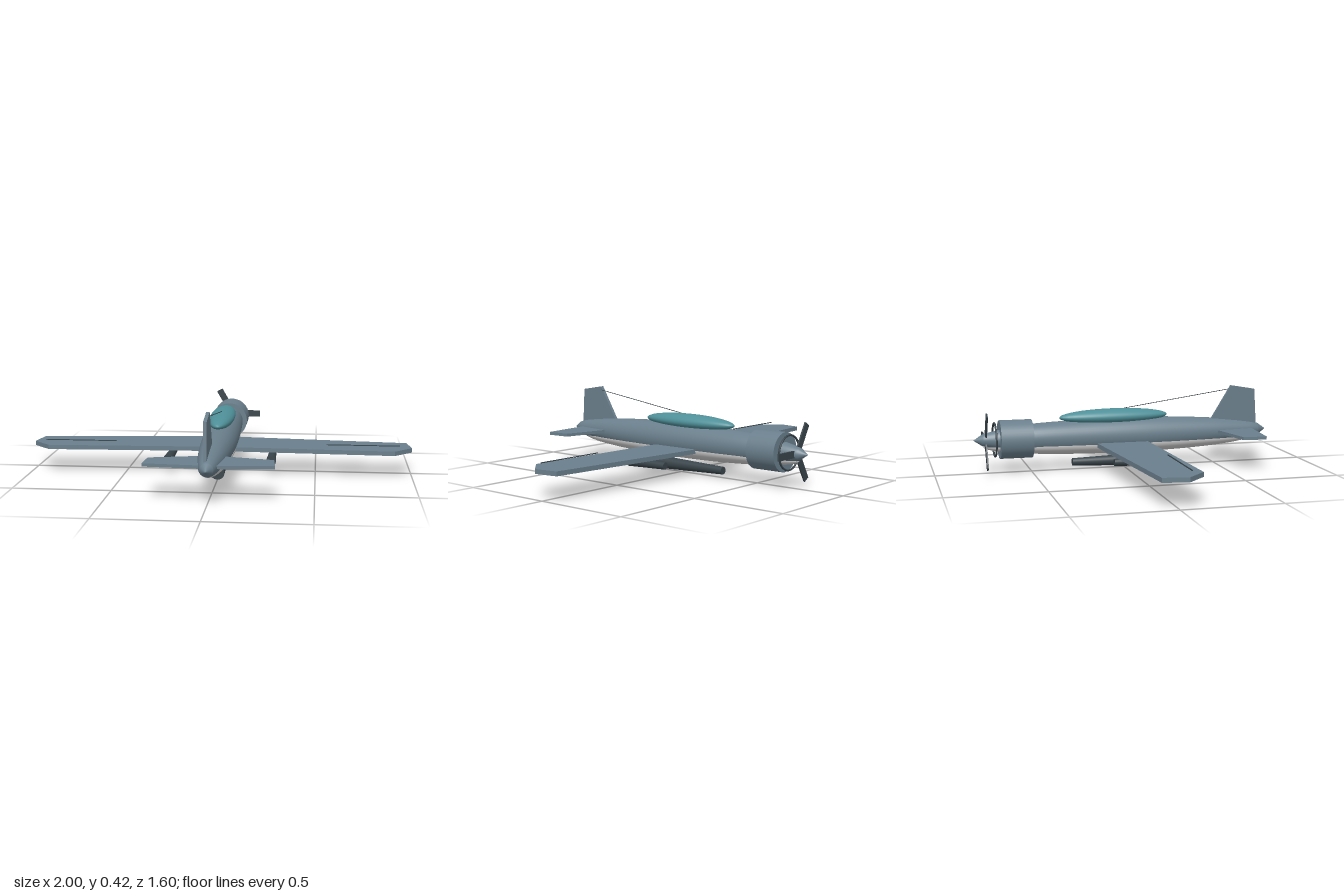
import * as THREE from 'three';

const material = (color) => new THREE.MeshStandardMaterial({ color, side: THREE.DoubleSide });
const AXIS_Y = 0.175; // height of the fuselage axis

export function createModel() {
  const model = new THREE.Group();
  model.name = 'propellerAircraft';
  const slate = material(0x6a7f8c);
  const dark = material(0x39454b);
  const teal = material(0x4f9099);
  const pale = material(0xcccccc);

  const add = (name, geometry, mat, x = 0, y = 0, z = 0, parent = model) => {
    const mesh = new THREE.Mesh(geometry, mat);
    mesh.name = name;
    mesh.position.set(x, y, z);
    parent.add(mesh);
    return mesh;
  };
  const toShape = (points) => new THREE.Shape(points.map(([a, b]) => new THREE.Vector2(a, b)));
  const slab = (points, depth) => new THREE.ExtrudeGeometry(toShape(points), { depth, bevelEnabled: false });
  // Full-span surface from one half outline of [x, z]
  const span = (half, depth) => {
    const other = half.map(([x, z]) => [-x, z]).reverse();
    return slab([...half, ...other], depth).rotateX(Math.PI / 2);
  };
  // Cylinder along z, first radius at the +z end
  const barrel = (rBack, rFront, length, sides = 32) =>
    new THREE.CylinderGeometry(rBack, rFront, length, sides).rotateX(Math.PI / 2);

  // Fuselage: straight cones at both ends, smooth body between
  const body = new THREE.SplineCurve([
    [0.03, -0.755], [0.05, -0.67], [0.075, -0.5], [0.086, -0.25], [0.091, 0],
    [0.088, 0.2], [0.074, 0.45], [0.059, 0.6], [0.044, 0.71], [0.032, 0.755],
  ].map(([r, z]) => new THREE.Vector2(r, z))).getPoints(40);
  const profile = [new THREE.Vector2(0, -0.8), ...body, new THREE.Vector2(0, 0.8)];
  add('fuselage', new THREE.LatheGeometry(profile, 40).rotateX(Math.PI / 2), slate, 0, AXIS_Y, 0);

  // Pale belly: lower half of a long ellipsoid
  const belly = new THREE.SphereGeometry(1, 40, 20, 0, Math.PI * 2, Math.PI / 2, Math.PI / 2);
  add('belly', belly.scale(0.087, 0.06, 0.735), pale, 0, 0.14, -0.015);

  // Canopy
  add('canopy', new THREE.SphereGeometry(1, 36, 24).scale(0.066, 0.04, 0.293), teal, 0, 0.276, -0.057);

  // Engine cowling with a dark ring ahead of it
  add('cowling', barrel(0.1, 0.1, 0.168, 40), slate, 0, AXIS_Y, -0.582);
  add('cowlRing', new THREE.TorusGeometry(0.087, 0.005, 8, 40), dark, 0, AXIS_Y, -0.69);

  // Three-bladed propeller
  const propeller = new THREE.Group();
  propeller.name = 'propeller';
  propeller.position.set(0, AXIS_Y, -0.737);
  model.add(propeller);
  for (let i = 0; i < 3; i++) {
    const blade = new THREE.BoxGeometry(0.16, 0.036, 0.008).translate(0.081, 0, 0);
    add('propellerBlade', blade, dark, 0, 0, 0, propeller).rotation.z = (i * Math.PI * 2) / 3;
  }

  // Wing and tailplane
  const wing = [[0, -0.172], [0.98, -0.08], [1, 0.045], [0.905, 0.14], [0, 0.105]];
  add('wing', span(wing, 0.023), slate, 0, 0.147, 0);
  const tailplane = [[0, 0.49], [0.305, 0.56], [0.315, 0.685], [0, 0.71]];
  add('tailplane', span(tailplane, 0.016), slate, 0, 0.186, 0);

  // Fin, drawn as [z, y]
  const fin = [[0.487, 0.225], [0.487, 0.245], [0.595, 0.42], [0.729, 0.397], [0.742, 0.19]];
  add('fin', slab(fin, 0.017).rotateY(-Math.PI / 2), slate);

  // Aerial wire from fin to canopy
  const wire = new THREE.LineCurve3(new THREE.Vector3(0, 0.4, 0.59), new THREE.Vector3(0, 0.316, 0));
  add('aerialWire', new THREE.TubeGeometry(wire, 1, 0.0018, 6), dark);

  // Belly tank, and a store and aileron line under and over each wing
  add('centreTank', barrel(0.037, 0.02, 0.512), dark, 0, 0.038, -0.026);
  for (const [side, s] of [['left', 1], ['right', -1]]) {
    add(`${side}WingStore`, barrel(0.026, 0.018, 0.245), dark, s * 0.27, 0.08, 0.002);
    add(`${side}AileronLine`, new THREE.BoxGeometry(0.38, 0.004, 0.005), dark, s * 0.745, 0.163, 0.076);
  }
  return model;
}
